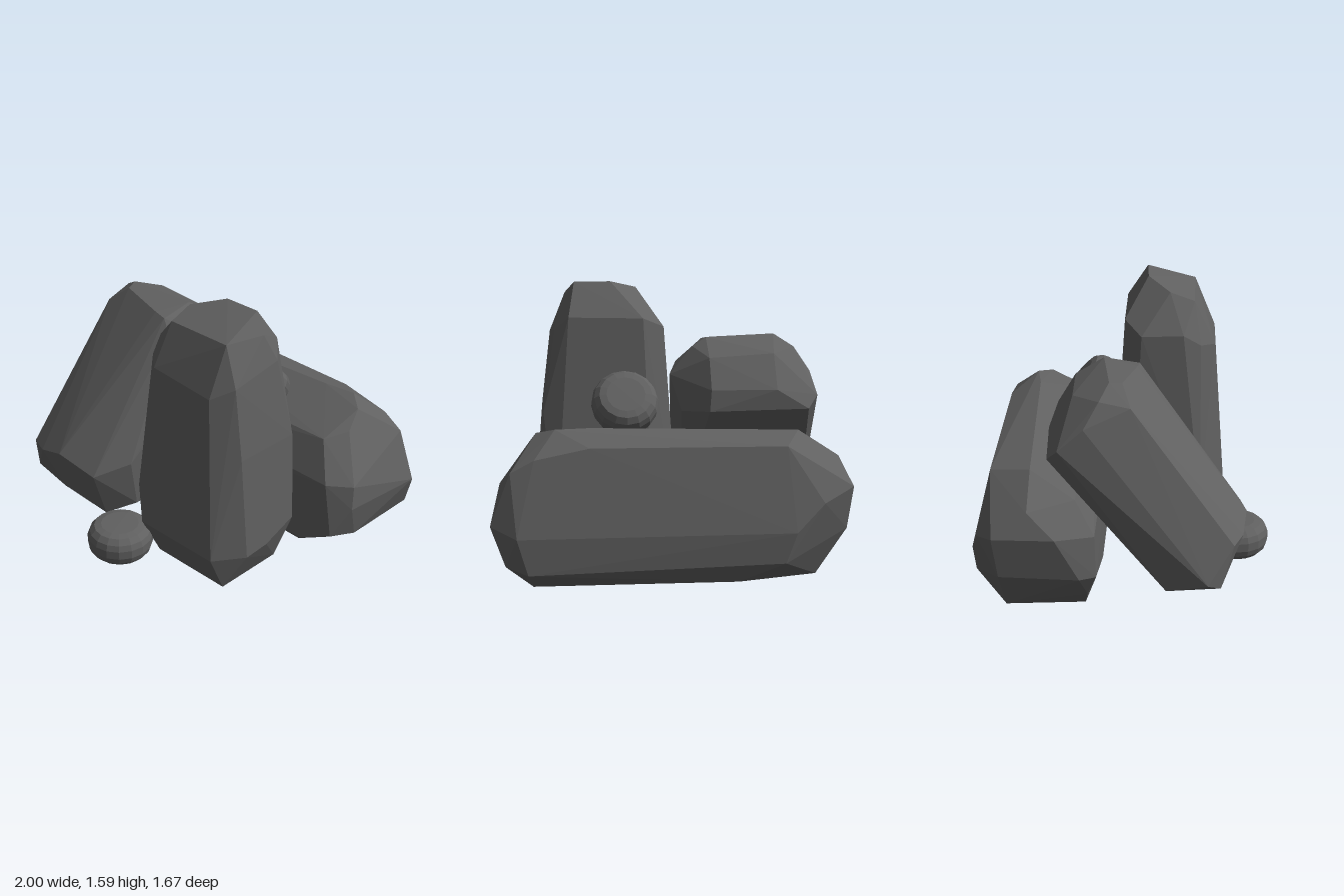
import * as THREE from 'three';
import { ConvexGeometry } from 'three/addons/geometries/ConvexGeometry.js';

const stone = new THREE.MeshStandardMaterial({ color: 0x606060, flatShading: true });
stone.name = 'dark grey stone';

// A faceted boulder: the convex hull of a few corner points
function boulder(name, corners) {
  const geometry = new ConvexGeometry(corners.map((c) => new THREE.Vector3(...c)));
  const mesh = new THREE.Mesh(geometry, stone);
  mesh.name = name;
  return mesh;
}

// A flattened round pebble, turned on its axis
function pebble(name, x, y, z, tilt) {
  const profile = [
    [0, -0.102], [0.11, -0.1], [0.15, -0.09], [0.178, -0.06], [0.19, -0.025],
    [0.19, 0.025], [0.178, 0.06], [0.15, 0.09], [0.11, 0.1], [0, 0.102],
  ].map(([r, h]) => new THREE.Vector2(r, h));
  const mesh = new THREE.Mesh(new THREE.LatheGeometry(profile, 16), stone);
  mesh.name = name;
  mesh.position.set(x, y, z);
  mesh.rotation.x = tilt;
  return mesh;
}

export function createModel() {
  const group = new THREE.Group();
  group.name = 'rockPile';

  // Upright rock
  group.add(boulder('tallRock', [
    // base
    [0.1, 0.01, 0.48], [0.61, 0.01, 0.48], [0.61, 0.01, 0.05], [0.55, 0.01, -0.01], [0.04, 0.01, 0.02],
    [0.0, 0.1, 0.42],
    // widest ring
    [0.05, 0.23, 0.57], [0.6, 0.23, 0.57], [0.72, 0.23, 0.4], [0.72, 0.24, 0.24], [0.7, 0.3, 0.0],
    [0.61, 0.24, -0.09], [0.05, 0.24, -0.09], [-0.1, 0.3, 0.03], [-0.12, 0.34, 0.43],
    // side bulge
    [0.68, 0.85, 0.0], [0.67, 0.85, 0.4],
    // shoulder
    [0.1, 1.25, 0.5], [0.52, 1.22, 0.5], [0.62, 1.28, 0.4], [0.61, 1.32, 0.06], [0.56, 1.48, 0.12],
    [0.53, 1.4, -0.02], [0.1, 1.39, -0.02], [-0.03, 1.33, 0.08], [-0.03, 1.34, 0.32], [0.01, 1.27, 0.42],
    // crown
    [0.12, 1.5, 0.38], [0.53, 1.51, 0.38], [0.49, 1.595, 0.1], [0.28, 1.595, 0.11], [0.12, 1.55, 0.24],
  ]));

  // Rock leaning backwards
  group.add(boulder('leaningRock', [
    // upper end
    [-0.65, 1.3, -0.07], [-0.25, 1.29, -0.12], [-0.17, 1.24, -0.13], [-0.08, 1.15, -0.08], [-0.04, 1.08, -0.13],
    [-0.76, 1.23, -0.12], [-0.84, 1.1, -0.2], [-0.86, 0.98, -0.34],
    [-0.62, 1.02, -0.4], [-0.25, 1.02, -0.38], [-0.62, 1.21, -0.27], [-0.25, 1.19, -0.28],
    [-0.8, 0.91, -0.4], [-0.24, 0.9, -0.39], [-0.1, 0.88, -0.22],
    // front ridge
    [-0.75, 1.19, 0.05], [-0.63, 1.29, 0.0], [-0.33, 1.27, 0.07], [-0.25, 1.26, 0.08], [-0.19, 1.18, 0.1],
    // lower end
    [-0.82, 0.42, 0.62], [-0.7, 0.43, 0.67], [-0.52, 0.49, 0.69], [-0.26, 0.43, 0.66], [-0.13, 0.5, 0.48],
    [-0.92, 0.22, 0.48], [-0.88, 0.19, 0.55], [-0.6, 0.18, 0.59], [-0.26, 0.14, 0.57], [-0.12, 0.22, 0.45],
    [-0.87, 0.16, 0.25], [-0.3, 0.08, 0.28], [-0.14, 0.2, 0.22],
  ]));

  // Long rock lying across the back
  group.add(boulder('longRock', [
    // base
    [-0.76, 0.02, -0.2], [-0.8, 0.02, -0.64], [-0.35, 0.02, -0.77],
    [0.62, 0.02, -0.16], [0.77, 0.02, -0.45], [0.77, 0.02, -0.75],
    // front side
    [-0.3, 0.06, -0.13], [-0.88, 0.14, -0.18], [-0.93, 0.27, -0.13], [-0.9, 0.5, -0.14],
    [0.65, 0.06, -0.13], [0.87, 0.17, -0.14], [0.82, 0.5, -0.14],
    [-0.8, 0.67, -0.25], [0.7, 0.71, -0.25],
    // ends
    [-0.97, 0.27, -0.22], [-1, 0.52, -0.35], [-1, 0.52, -0.69], [-0.97, 0.28, -0.66], [-0.95, 0.66, -0.5],
    [0.92, 0.14, -0.3], [0.95, 0.35, -0.23], [0.94, 0.49, -0.25], [0.78, 0.74, -0.38],
    [1, 0.35, -0.72], [0.89, 0.64, -0.72], [0.92, 0.14, -0.77],
    // back side
    [-0.66, 0.3, -0.84], [0.86, 0.3, -0.83], [-0.6, 0.13, -0.83], [0.8, 0.1, -0.83], [-0.82, 0.45, -0.79],
    // top
    [-0.62, 0.76, -0.73], [0.46, 0.77, -0.73], [0.76, 0.71, -0.73],
    [0.45, 0.85, -0.55], [0.64, 0.85, -0.58], [0.74, 0.82, -0.5], [-0.72, 0.81, -0.5],
  ]));

  // Small round stones
  group.add(pebble('frontPebble', -0.06, 0.103, 0.645, 0));
  group.add(pebble('wedgedPebble', 0.225, 0.93, -0.215, -0.88));

  return group;
}
